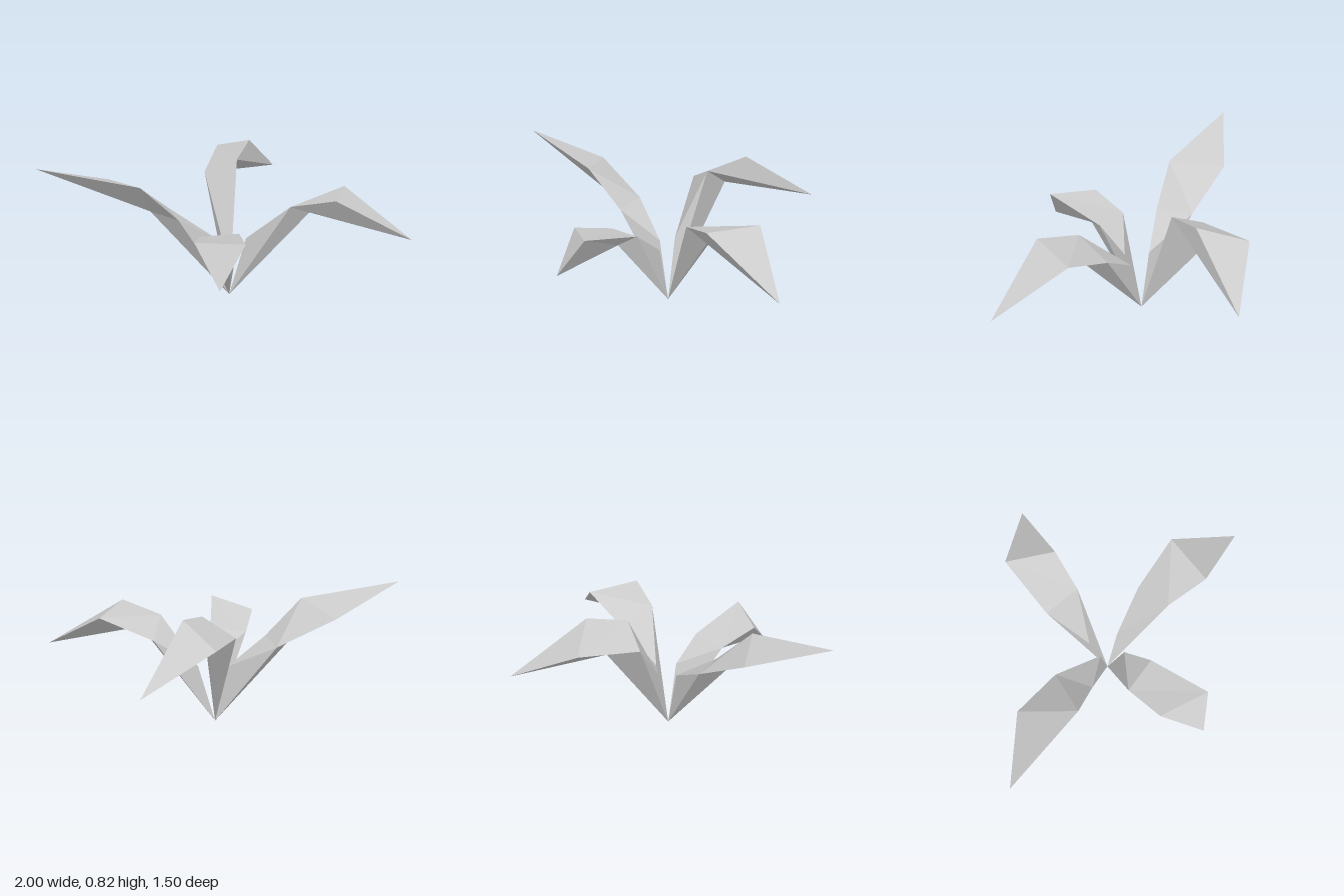
import * as THREE from 'three';

const root = [0.05, 0, 0.05];

// Each leaf: stem crease, left/right edge at two stations, tip, underside keel
const leaves = {
  rightLeaf: {
    crease: [-0.02, 0.345, 0.035], tip: [-1, 0.82, 0.03], keel: [-0.39, 0.525, 0],
    L1: [-0.25, 0.5, 0.105], R1: [-0.28, 0.505, -0.11],
    L2: [-0.46, 0.71, 0.13], R2: [-0.6, 0.675, -0.16],
  },
  backLeaf: {
    crease: [0.02, 0.345, -0.055], tip: [0.51, 0.51, -0.75], keel: [0.13, 0.612, -0.39],
    L1: [-0.025, 0.64, -0.295], R1: [0.145, 0.735, -0.19],
    L2: [0.12, 0.7, -0.63], R2: [0.265, 0.79, -0.39],
  },
  leftLeaf: {
    crease: [0.145, 0.345, 0.06], tip: [1, 0.4, 0.41], keel: [0.46, 0.54, 0.235],
    L1: [0.395, 0.51, 0.065], R1: [0.34, 0.595, 0.275],
    L2: [0.695, 0.64, 0.12], R2: [0.555, 0.655, 0.4],
  },
  frontLeaf: {
    crease: [0.065, 0.345, 0.147], tip: [-0.15, 0.35, 0.75], keel: [-0.015, 0.445, 0.41],
    L1: [0.045, 0.48, 0.32], R1: [-0.165, 0.465, 0.285],
    L2: [-0.005, 0.565, 0.685], R2: [-0.235, 0.525, 0.51],
  },
};

// Closed faceted leaf: broad upper face over a keeled underside
function leafGeometry({ crease, tip, keel, L1, R1, L2, R2 }) {
  const faces = [
    // upper side
    [root, R1, crease], [root, crease, L1], [crease, R1, L1],
    [R1, R2, L2], [R1, L2, L1], [R2, tip, L2],
    // underside, left then right
    [keel, root, L1], [keel, L1, L2], [keel, L2, tip],
    [keel, R1, root], [keel, tip, R1], [tip, R2, R1],
  ];
  const geometry = new THREE.BufferGeometry();
  geometry.setAttribute('position', new THREE.Float32BufferAttribute(faces.flat(2), 3));
  geometry.computeVertexNormals();
  return geometry;
}

export function createModel() {
  const plant = new THREE.Group();
  plant.name = 'plant';
  const material = new THREE.MeshStandardMaterial({
    color: 0xcccccc, flatShading: true, side: THREE.DoubleSide,
  });
  for (const [name, points] of Object.entries(leaves)) {
    const leaf = new THREE.Mesh(leafGeometry(points), material);
    leaf.name = name;
    plant.add(leaf);
  }
  return plant;
}
